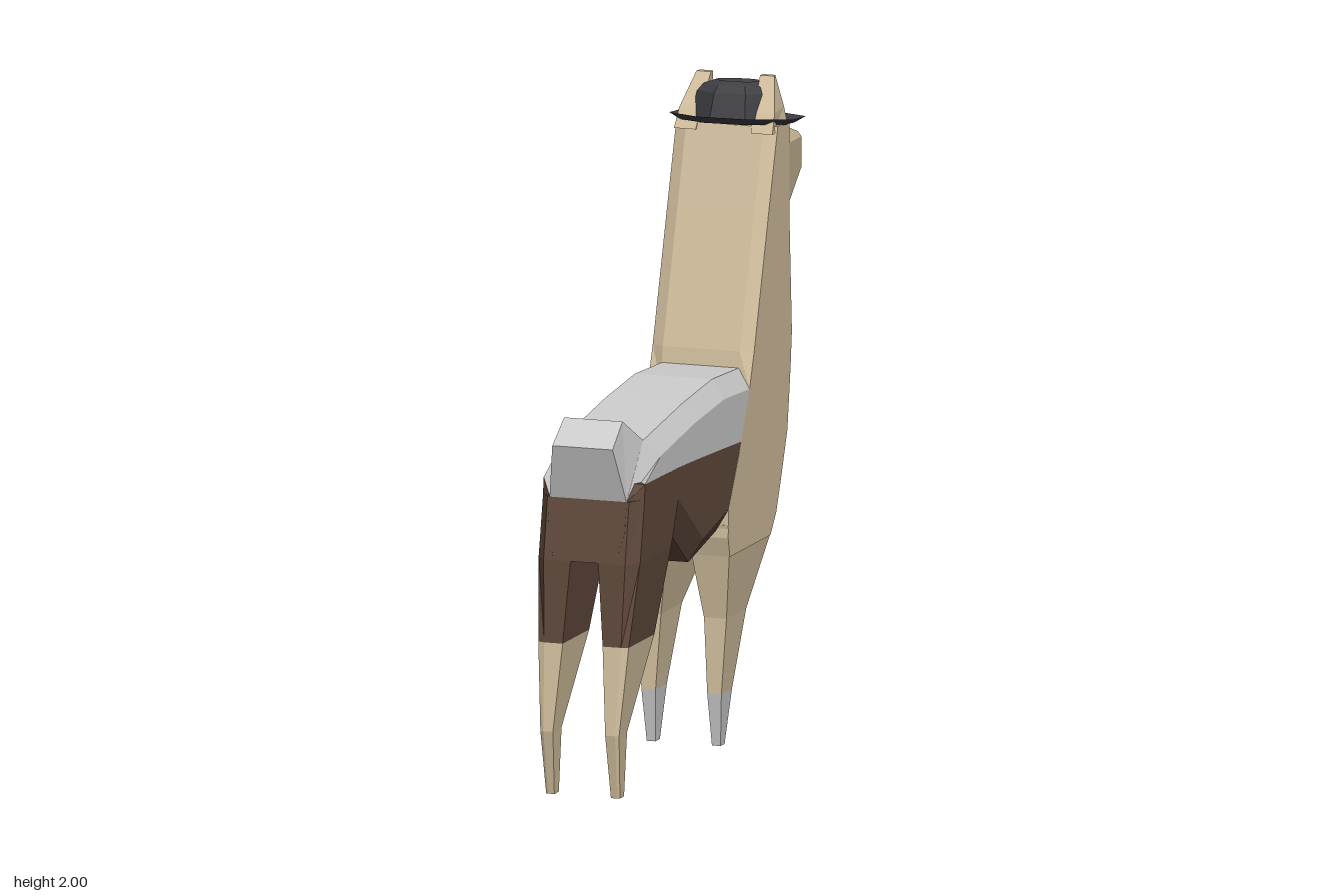
import * as THREE from 'three';

const material = (color, side = THREE.FrontSide) =>
  new THREE.MeshStandardMaterial({ color, flatShading: true, side });
const WOOL = material(0xd1be9d), BROWN = material(0x614a3c);
const GREY = material(0xcccccc), FELT = material(0x404045, THREE.DoubleSide);

// Closed faceted skin through rings of [x, y, z] points, turned to face outward.
function loft(name, rings, mat) {
  const n = rings[0].length, tris = [];
  for (let r = 0; r < rings.length - 1; r++) {
    for (let i = 0; i < n; i++) {
      const j = (i + 1) % n, a = rings[r], b = rings[r + 1];
      tris.push([a[i], a[j], b[j]], [a[i], b[j], b[i]]);
    }
  }
  const first = rings[0], last = rings[rings.length - 1];
  for (let i = 1; i < n - 1; i++) {
    tris.push([first[0], first[i + 1], first[i]], [last[0], last[i], last[i + 1]]);
  }
  let volume = 0;
  for (const [a, b, c] of tris) {
    const [p, q, s] = [a, b, c].map((v) => new THREE.Vector3(...v));
    volume += p.dot(q.cross(s));
  }
  if (volume < 0) tris.forEach((t) => t.reverse());
  const geometry = new THREE.BufferGeometry();
  geometry.setAttribute('position', new THREE.Float32BufferAttribute(tris.flat(2), 3));
  geometry.computeVertexNormals();
  const mesh = new THREE.Mesh(geometry, mat);
  mesh.name = name;
  return mesh;
}

// Completes a symmetric ring from its +x half.
const mirror = (half) => [...half, ...half.map(([x, y, z]) => [-x, y, z]).reverse()];

// Horizontal leg section; cb and cf are the outer bevels at the back and front.
function legRing(s, [y, zb, zf, xi, xo, cb, cf]) {
  const xm = xo - 0.27 * (xo - xi);
  return [[xo, zb - cb], [xm, zb], [xi, zb], [xi, zf], [xm, zf], [xo, zf + cf]]
    .map(([x, z]) => [s * x, y, z]);
}

export function createModel() {
  const group = new THREE.Group();
  const add = (...args) => group.add(loft(...args));

  // Neck and chest: y, back z, back bevel, side front z, centre front z
  add('neckAndChest', [
    [1.86, -0.475, 0.02, -0.60, -0.602],
    [1.61, -0.395, 0.02, -0.597, -0.605],
    [1.53, -0.37, 0.02, -0.60, -0.62],
    [1.20, -0.266, 0.02, -0.62, -0.645],
    [1.09, -0.245, 0.0, -0.608, -0.635],
    [0.90, -0.15, 0.0, -0.58, -0.615],
    [0.75, -0.06, 0.0, -0.52, -0.562],
    [0.66, -0.055, 0.0, -0.48, -0.527],
    [0.60, -0.07, 0.0, -0.43, -0.503],
  ].map(([y, zb, c, zs, zf]) => mirror([
    [0.125, y, zb], [0.165, y, zb - c], [0.165, y, zs], [0.125, y, zf],
  ])), WOOL);

  // Head tapering to a blunt muzzle
  add('head', [
    mirror([[0.125, 1.875, -0.50], [0.163, 1.80, -0.50], [0.163, 1.62, -0.50]]),
    mirror([[0.125, 1.85, -0.60], [0.165, 1.79, -0.60], [0.165, 1.61, -0.60]]),
    mirror([[0.118, 1.785, -0.80], [0.13, 1.77, -0.80], [0.13, 1.675, -0.80]]),
    mirror([[0.11, 1.78, -0.818], [0.118, 1.765, -0.818], [0.118, 1.68, -0.818]]),
  ], WOOL);

  // Torso with its hanging belly
  add('torso', [
    [[0.125, 0.92, 0.735], [0.125, 0.83, 0.752], [0.10, 0.73, 0.77]],
    [[0.165, 0.967, 0.68], [0.165, 0.82, 0.70], [0.12, 0.75, 0.68]],
    [[0.165, 0.965, 0.41], [0.165, 0.87, 0.39], [0.125, 0.80, 0.42]],
    [[0.165, 0.957, 0.19], [0.165, 0.70, 0.165], [0.125, 0.63, 0.19]],
    [[0.165, 0.94, -0.17], [0.165, 0.75, -0.06], [0.125, 0.68, -0.05]],
  ].map(mirror), BROWN);

  // Bevelled back blanket
  add('back', [
    [[0.125, 0.92, 0.735], [0.165, 0.968, 0.68], [0.165, 0.966, 0.67]],
    [[0.125, 1.085, 0.59], [0.165, 1.03, 0.54], [0.165, 0.966, 0.54]],
    [[0.125, 1.135, 0.24], [0.165, 1.075, 0.24], [0.165, 0.958, 0.24]],
    [[0.125, 1.16, -0.02], [0.165, 1.10, -0.02], [0.165, 0.947, -0.02]],
    [[0.125, 1.15, -0.26], [0.165, 1.09, -0.245], [0.165, 0.94, -0.17]],
  ].map(mirror), GREY);

  // Tail block
  add('tail', [1, -1].map((s) => [
    [s * 0.125, 0.92, 0.737], [s * 0.098, 1.09, 0.787],
    [s * 0.095, 1.16, 0.69], [s * 0.125, 1.085, 0.59],
  ]), GREY);

  for (const [side, s] of [['left', 1], ['right', -1]]) {
    const leg = (part, rows, mat) => add(side + part, rows.map((row) => legRing(s, row)), mat);

    // Hind leg: brown thigh, wool shank
    const hock = [0.475, 0.785, 0.55, 0.065, 0.147, 0.008, 0];
    leg('HindThigh', [
      [0.92, 0.735, 0.36, 0.045, 0.165, 0.05, 0],
      [0.73, 0.77, 0.45, 0.045, 0.165, 0.045, 0],
      hock,
    ], BROWN);
    leg('HindShank', [
      hock,
      [0.205, 0.817, 0.74, 0.085, 0.128, 0.006, 0],
      [0.005, 0.785, 0.745, 0.092, 0.12, 0.004, 0],
    ], WOOL);

    // Front leg with a grey hoof
    const ankle = [0.165, -0.09, -0.19, 0.084, 0.13, 0, 0.006];
    leg('FrontLeg', [
      [0.70, -0.055, -0.52, 0.03, 0.165, 0, 0.04],
      [0.60, -0.07, -0.50, 0.04, 0.163, 0, 0.07],
      [0.40, -0.10, -0.285, 0.07, 0.143, 0, 0.01],
      ankle,
    ], WOOL);
    leg('FrontHoof', [ankle, [0, -0.11, -0.15, 0.092, 0.12, 0, 0.004]], GREY);

    // Ear, leaning forward to a blunt tip
    add(side + 'Ear', [
      [[0.09, 1.84, -0.46], [0.16, 1.84, -0.46], [0.16, 1.84, -0.60], [0.09, 1.84, -0.60]],
      [[0.085, 1.90, -0.495], [0.155, 1.90, -0.495], [0.145, 1.90, -0.605], [0.085, 1.90, -0.605]],
      [[0.08, 2.0, -0.57], [0.127, 2.0, -0.57], [0.122, 2.0, -0.59], [0.08, 2.0, -0.59]],
    ].map((ring) => ring.map(([x, y, z]) => [s * x, y, z])), WOOL);
  }

  // Eight-sided hat with a curled brim and dented crown, tipped forward
  const profile = [[0.238, 0.02], [0.20, 0.0], [0.165, 0.005], [0.145, 0.09], [0.125, 0.112],
    [0.085, 0.125], [0, 0.10]].map(([r, y]) => new THREE.Vector2(r, y));
  const hat = new THREE.LatheGeometry(profile, 8);
  hat.rotateY(-0.23).scale(0.87, 1, 1).rotateX(-0.14).translate(0, 1.85, -0.585);
  const hatMesh = new THREE.Mesh(hat, FELT);
  hatMesh.name = 'hat';
  group.add(hatMesh);

  return group;
}
